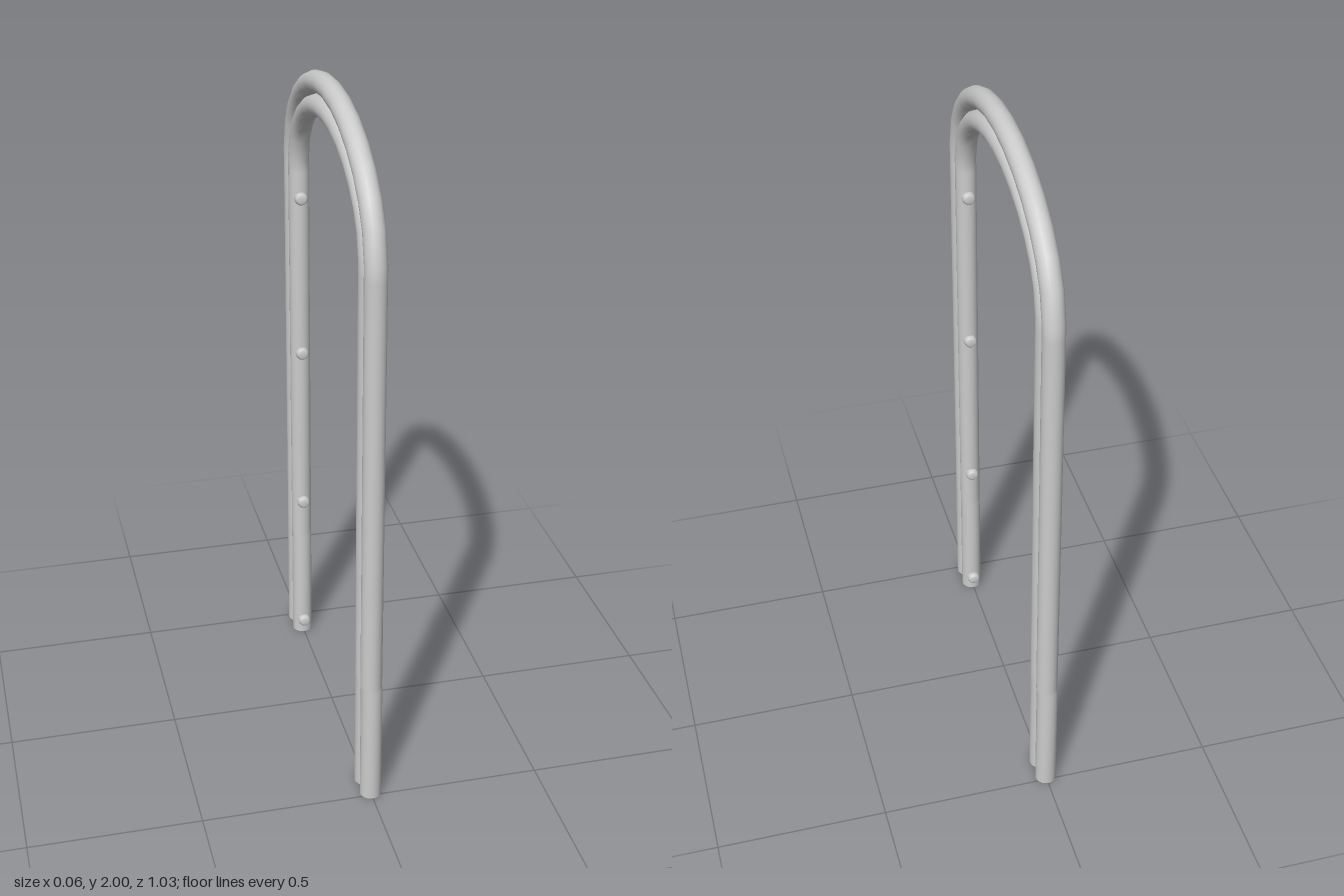
import * as THREE from 'three';

const SIDES = 20;
const material = new THREE.MeshStandardMaterial({ color: 0xcccccc });

// Centre line in the z-y plane: front leg, elliptical arch, back leg
function archPath(legZ, footZ, springY, topY) {
  const half = [[footZ, 0], [footZ, 0.365], [legZ, 0.375], [legZ, springY - 0.03], [legZ, springY + 0.01]];
  const steps = 7;
  for (let i = 1; i < steps; i++) {
    const a = 0.1 + (i / steps) * (Math.PI / 2 - 0.1);
    half.push([legZ * Math.cos(a), springY + (topY - springY) * Math.sin(a)]);
  }
  const other = half.map(([z, y]) => [-z, y]).reverse();
  return [...half, [0, topY], ...other];
}

// Round pipe swept along the path with mitred joints
function pipeGeometry(path, radius) {
  const positions = [], index = [];
  const dir = (a, b) => new THREE.Vector2(b[0] - a[0], b[1] - a[1]).normalize();
  path.forEach((p, i) => {
    const before = dir(path[Math.max(i - 1, 0)], path[Math.max(i, 1)]);
    const after = i < path.length - 1 ? dir(p, path[i + 1]) : before;
    const t = before.clone().add(after).normalize();
    const mitre = Math.min(1 / t.dot(before), 1.1);
    for (let j = 0; j < SIDES; j++) {
      const a = (j / SIDES) * Math.PI * 2;
      const out = radius * mitre * Math.cos(a);
      positions.push(radius * Math.sin(a), p[1] - t.x * out, p[0] + t.y * out);
    }
  });
  for (let i = 0; i < path.length - 1; i++) {
    for (let j = 0; j < SIDES; j++) {
      const k = (j + 1) % SIDES;
      const a = i * SIDES + j, b = i * SIDES + k;
      index.push(a, b, b + SIDES, a, b + SIDES, a + SIDES);
    }
  }
  const g = new THREE.BufferGeometry();
  g.setAttribute('position', new THREE.Float32BufferAttribute(positions, 3));
  g.setIndex(index);
  g.computeVertexNormals();
  return g;
}

function pipe(name, path, radius) {
  const group = new THREE.Group();
  group.name = name;
  const tube = new THREE.Mesh(pipeGeometry(path, radius), material);
  tube.name = name + 'Tube';
  group.add(tube);
  // Flat discs closing the feet
  for (const end of [path[0], path[path.length - 1]]) {
    const cap = new THREE.Mesh(new THREE.CircleGeometry(radius, SIDES).rotateX(Math.PI / 2), material);
    cap.position.set(0, 0, end[0]);
    cap.name = 'footCap';
    group.add(cap);
  }
  return group;
}

export function createModel() {
  const model = new THREE.Group();
  model.name = 'doubleArch';
  model.add(pipe('outerPipe', archPath(0.481, 0.485, 1.645, 1.968), 0.031));
  model.add(pipe('innerPipe', archPath(0.42, 0.42, 1.635, 1.902), 0.031));

  // Small round studs on the inner faces of both legs
  const studProfile = [[0, 0.03], [0.012, 0.03], [0.017, 0.026], [0.02, 0.019], [0.02, 0]]
    .map(([r, y]) => new THREE.Vector2(r, y)).reverse();
  const studGeometry = new THREE.LatheGeometry(studProfile, 12).rotateX(-Math.PI / 2);
  for (const side of [1, -1]) {
    for (const y of [0.045, 0.495, 1.02, 1.525]) {
      const stud = new THREE.Mesh(studGeometry, material);
      stud.position.set(0, y, side * 0.404);
      if (side < 0) stud.rotation.y = Math.PI;
      stud.name = 'stud';
      model.add(stud);
    }
  }
  return model;
}
